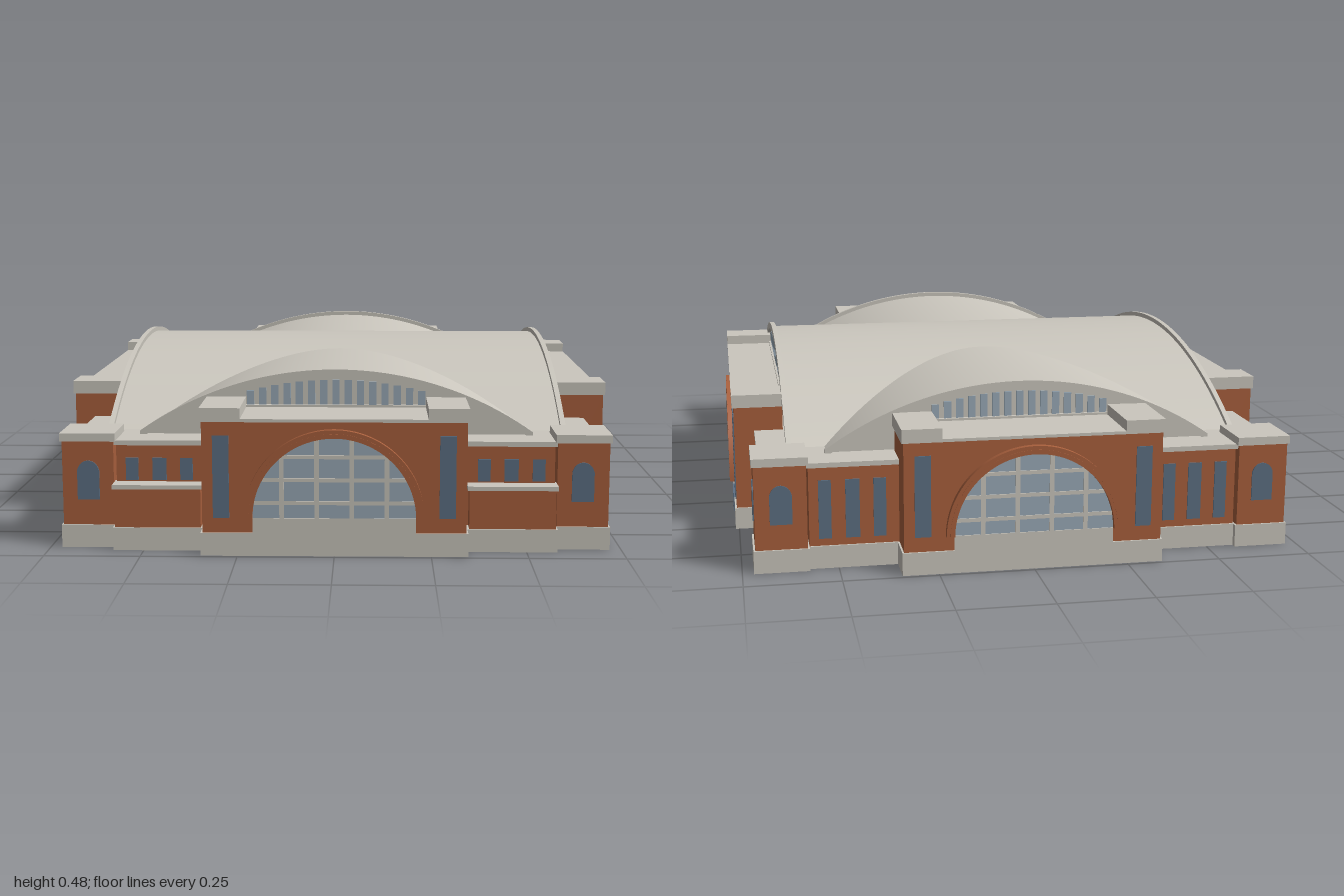
import * as THREE from 'three';
import { toCreasedNormals } from 'three/addons/utils/BufferGeometryUtils.js';

const mat = (name, color, side = THREE.FrontSide) => {
  const m = new THREE.MeshStandardMaterial({ color, side });
  m.name = name;
  return m;
};

export function createModel() {
  const root = new THREE.Group();
  root.name = 'stationHall';
  const brick = mat('brick', 0xa9603d, THREE.DoubleSide);
  const stone = mat('paleStone', 0xcbc7be, THREE.DoubleSide);
  const glass = mat('paleGlass', 0x9aabb8);
  const dark = mat('darkGlass', 0x5d7084);

  const add = (parent, name, geo, material) => {
    const m = new THREE.Mesh(geo, material);
    m.name = name;
    parent.add(m);
    return m;
  };
  const box = (parent, name, material, x0, x1, y0, y1, z0, z1) => {
    const m = add(parent, name, new THREE.BoxGeometry(x1 - x0, y1 - y0, z1 - z0), material);
    m.position.set((x0 + x1) / 2, (y0 + y1) / 2, (z0 + z1) / 2);
    return m;
  };
  // Four walls without floor or lid
  const tube = (...args) => {
    const m = box(...args);
    const idx = Array.from(m.geometry.index.array);
    m.geometry.setIndex([...idx.slice(0, 12), ...idx.slice(24)]);
    m.geometry.clearGroups();
    return m;
  };
  // Brick block on a stone plinth with a stone cap
  const E = 0.005;
  const block = (name, x0, x1, z0, z1, capY, top) => {
    const g = new THREE.Group();
    g.name = name;
    root.add(g);
    tube(g, 'plinth', stone, x0, x1, 0, 0.06, z0, z1);
    tube(g, 'brickWalls', brick, x0 + E, x1 - E, 0.06, capY, z0 + E, z1 - E);
    box(g, 'plinthLedge', stone, x0, x1, 0.058, 0.0605, z1 - E, z1);
    box(g, 'plinthLedge', stone, x0, x1, 0.058, 0.0605, z0, z0 + E);
    box(g, 'plinthLedge', stone, x0, x0 + E, 0.058, 0.0605, z0, z1);
    box(g, 'plinthLedge', stone, x1 - E, x1, 0.058, 0.0605, z0, z1);
    box(g, 'cap', stone, x0, x1, capY, top, z0, z1);
  };

  // Low wings around the hall
  block('sideWings', -0.7, 0.7, -0.765, 0.765, 0.27, 0.283);
  block('endWings', -0.58, 0.58, -0.895, 0.895, 0.271, 0.284);

  for (const s of [-1, 1]) {
    const span = (a, b) => (s > 0 ? [a, b] : [-b, -a]);
    // Corner pavilions
    for (const t of [-1, 1]) {
      const z = t > 0 ? [0.76, 0.91] : [-0.91, -0.76];
      block('cornerPavilion', ...span(0.575, 0.72), ...z, 0.283, 0.305);
    }
    // Projecting centre blocks with raised towers at both ends
    block('endCentreBlock', -0.345, 0.345, ...span(0.8, 0.99), 0.35, 0.358);
    block('sideCentreBlock', ...span(0.615, 0.76), -0.52, 0.52, 0.35, 0.358);
    for (const t of [-1, 1]) {
      const m = (a, b) => (t > 0 ? [a, b] : [-b, -a]);
      box(root, 'endTowerCap', stone, ...m(0.24, 0.345), 0.354, 0.386, ...span(0.8, 0.99));
      box(root, 'sideTowerCap', stone, ...span(0.615, 0.76), 0.354, 0.386, ...m(0.415, 0.52));
    }
    // Front porches with flat canopies
    block('frontPorch', ...span(0.345, 0.58), 0.88, 0.94, 0.163, 0.174);
  }

  // Points along a shallow circular arc
  const SPRING = 0.28;
  const arcHeight = (half, rise, x) => {
    const r = (half * half + rise * rise) / (2 * rise);
    return SPRING + rise - r + Math.sqrt(r * r - x * x);
  };
  const arc = (half, rise, dy = 0, n = 48) => Array.from({ length: n + 1 }, (_, i) => {
    const x = -half + (2 * half * i) / n;
    return new THREE.Vector2(x, arcHeight(half, rise, x) + dy);
  });
  const extrude = (pts, depth) => new THREE.ExtrudeGeometry(
    pts instanceof THREE.Shape ? pts : new THREE.Shape(pts),
    { depth, bevelEnabled: false, curveSegments: 32 });

  // Two crossing barrel vaults with rims and lunette windows at their ends
  const vault = (name, half, rise, length, winHalf, count, angle) => {
    const g = new THREE.Group();
    g.name = name;
    g.rotation.y = angle;
    root.add(g);
    const geo = extrude(arc(half, rise), 2 * length).translate(0, 0, -length);
    add(g, 'vaultShell', toCreasedNormals(geo, 0.5), stone);
    for (const turn of [0, Math.PI]) {
      const end = new THREE.Group();
      end.name = 'lunette';
      end.rotation.y = turn;
      g.add(end);
      const rim = extrude([...arc(half, rise, 0.013), ...arc(half, rise, -0.008).reverse()], 0.014);
      add(end, 'rim', toCreasedNormals(rim, 0.5), stone).position.z = length - 0.002;
      box(end, 'sill', stone, -winHalf - 0.01, winHalf + 0.01, 0.352, 0.364, length - 0.01, length + 0.01);
      const step = (2 * winHalf) / count;
      for (let i = 0; i < count; i++) {
        const x = -winHalf + (i + 0.5) * step;
        const top = arcHeight(half, rise, x) - 0.016;
        box(end, 'lunetteWindow', glass, x - step * 0.3, x + step * 0.3, 0.364, top, length - 0.002, length + 0.004);
      }
    }
  };
  vault('mainVault', 0.735, 0.185, 0.61, 0.42, 20, Math.PI / 2);
  vault('crossVault', 0.525, 0.167, 0.79, 0.245, 15, 0);

  // Great arched window: glass, glazing bars, brick ring and stone apron
  const archWindow = (g, z, r, cy, bars) => {
    const y0 = 0.1;
    const a0 = Math.asin((y0 - cy) / r);
    const pane = new THREE.Shape();
    pane.absarc(0, cy, r, a0, Math.PI - a0, false);
    add(g, 'archGlass', extrude(pane, 0.004), glass).position.z = z - 0.002;
    const ring = new THREE.Shape();
    ring.absarc(0, cy, r + 0.022, 0, Math.PI, false);
    ring.absarc(0, cy, r, Math.PI, 0, true);
    add(g, 'archRing', toCreasedNormals(extrude(ring, 0.015), 0.5), brick).position.z = z;
    const inner = new THREE.Shape();
    inner.absarc(0, cy, r + 0.012, 0, Math.PI, false);
    inner.absarc(0, cy, r + 0.009, Math.PI, 0, true);
    add(g, 'archMoulding', extrude(inner, 0.003), brick).position.z = z + 0.013;
    box(g, 'archApron', stone, -r, r, 0.058, y0, z - 0.002, z + 0.005);
    for (const b of bars) {
      for (const s of [-1, 1]) {
        const x = s * b;
        const top = cy + Math.sqrt(r * r - b * b);
        box(g, 'glazingBar', stone, x - 0.006, x + 0.006, y0, top, z, z + 0.005);
      }
    }
    for (const y of [0.14, 0.2, 0.26]) {
      const w = Math.sqrt(r * r - (y - cy) ** 2);
      box(g, 'glazingBar', stone, -w, w, y - 0.005, y + 0.005, z, z + 0.005);
    }
  };
  // Window plates mirrored to both halves of a facade
  const windows = (g, name, z, y0, y1, spans) => {
    for (const [a, b] of spans) {
      box(g, name, dark, a, b, y0, y1, z - 0.003, z + 0.003);
      box(g, name, dark, -b, -a, y0, y1, z - 0.003, z + 0.003);
    }
  };
  const pavilionWindow = (g, x, z, w) => {
    const s = new THREE.Shape();
    s.moveTo(-w, 0.128);
    s.lineTo(w, 0.128);
    s.lineTo(w, 0.205);
    s.quadraticCurveTo(w * 0.8, 0.23, 0, 0.232);
    s.quadraticCurveTo(-w * 0.8, 0.23, -w, 0.205);
    for (const t of [-1, 1]) {
      add(g, 'pavilionWindow', extrude(s, 0.005), dark).position.set(t * x, 0, z - 0.002);
    }
  };
  const facade = (name, angle) => {
    const g = new THREE.Group();
    g.name = name;
    g.rotation.y = angle;
    root.add(g);
    return g;
  };

  // Front and back facades
  for (const [name, angle] of [['frontFacade', 0], ['backFacade', Math.PI]]) {
    const g = facade(name, angle);
    archWindow(g, 0.985, 0.21, 0.1, [0.045, 0.135]);
    windows(g, 'towerWindow', 0.985, 0.1, 0.315, [[0.27, 0.312]]);
    windows(g, 'wingWindow', 0.89, angle ? 0.08 : 0.178, 0.237,
      [[0.374, 0.407], [0.443, 0.48], [0.517, 0.55]]);
    pavilionWindow(g, 0.647, 0.905, 0.029);
  }
  // Side facades
  for (const [name, angle] of [['leftFacade', Math.PI / 2], ['rightFacade', -Math.PI / 2]]) {
    const g = facade(name, angle);
    archWindow(g, 0.755, 0.243, 0.067, [0.04, 0.12, 0.2]);
    windows(g, 'towerWindow', 0.755, 0.08, 0.32, [[0.45, 0.495]]);
    windows(g, 'tallWindow', 0.755, 0.07, 0.312, [[0.289, 0.332], [0.353, 0.396]]);
    windows(g, 'entranceDoor', 0.76, 0.02, 0.061, [[0.267, 0.406]]);
    windows(g, 'wingWindow', 0.695, 0.08, 0.24, [[0.56, 0.597], [0.63, 0.663], [0.7, 0.733]]);
    pavilionWindow(g, 0.832, 0.715, 0.028);
  }
  return root;
}
